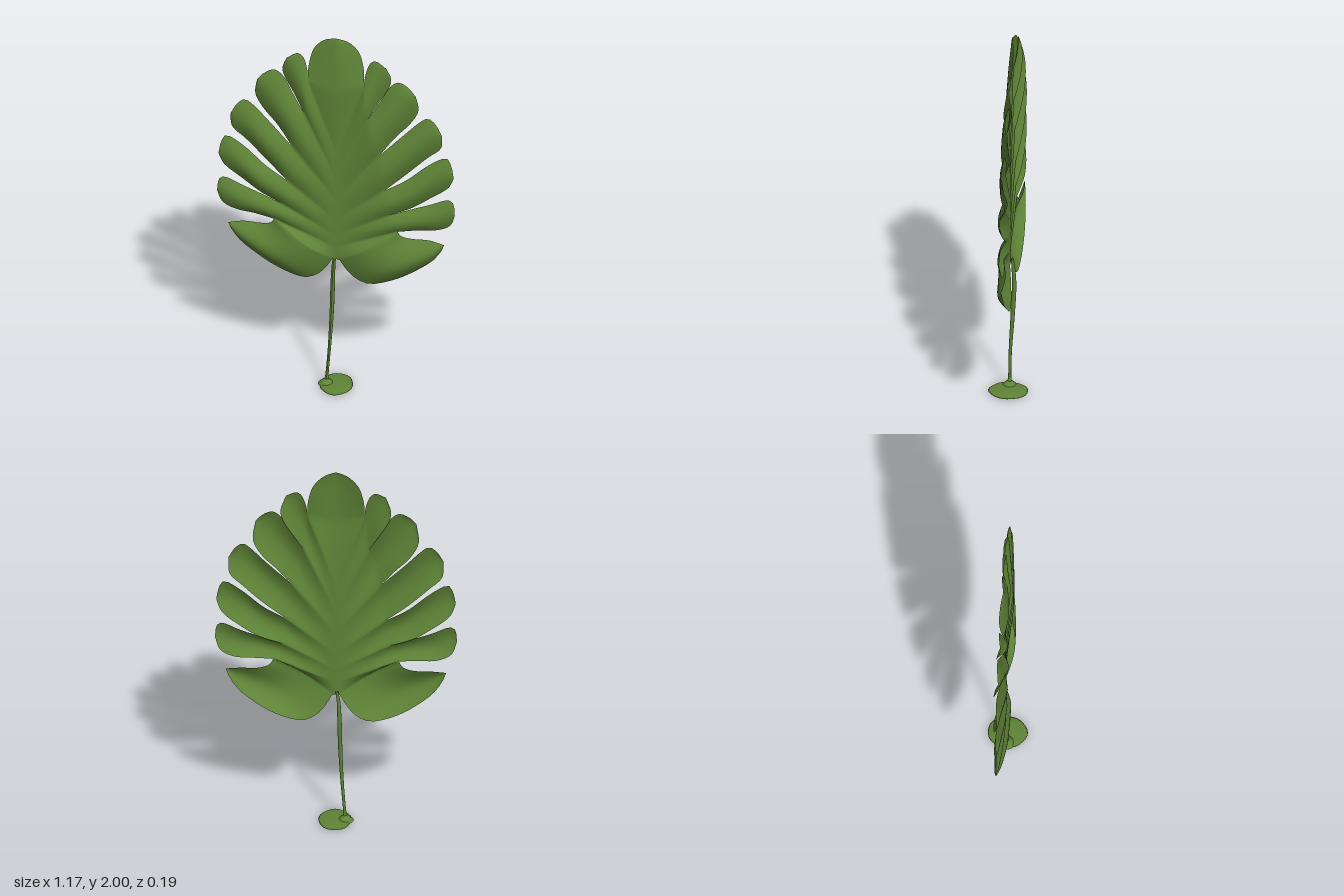
import * as THREE from 'three';
import { mergeVertices } from 'three/addons/utils/BufferGeometryUtils.js';

const leafGreen = new THREE.MeshStandardMaterial({ color: 0x5f8437, side: THREE.DoubleSide });
leafGreen.name = 'leaf green';

const SPLIT = 0.4; // share of each lobe that is joined to its neighbours
const U = 30, V = 12;

// Slits between lobes: height on the midrib, then the inner end of the slit
const slits = [
  [0.73, 0.02, 0.725],
  [0.80, 0.305, 0.925],
  [0.87, 0.257, 1.013],
  [0.96, 0.24, 1.155],
  [1.08, 0.215, 1.355],
  [1.20, 0.155, 1.55],
  [1.35, 0.137, 1.74],
  [1.35, 0, 1.70],
];

// Lobes from bottom to top: free lower edge, free upper edge, shared tip,
// how far the rim curls back and how far the middle puffs forward
const lobes = [
  { lower: [[0.045, 0.68], [0.09, 0.625], [0.17, 0.592], [0.31, 0.64], [0.45, 0.74], [0.51, 0.815]],
    upper: [[0.325, 0.895], [0.38, 0.882], [0.46, 0.882]], tip: [0.533, 0.87], curl: 0.024, puff: 0.052 },
  { lower: [[0.40, 0.937], [0.49, 0.945], [0.56, 0.98]],
    upper: [[0.35, 1.05], [0.46, 1.092], [0.545, 1.13], [0.578, 1.115]], tip: [0.586, 1.05], curl: 0.016, puff: 0.03 },
  { lower: [[0.37, 1.06], [0.46, 1.122], [0.55, 1.195]],
    upper: [[0.35, 1.225], [0.45, 1.315], [0.535, 1.37], [0.565, 1.34]], tip: [0.58, 1.265], curl: 0.02, puff: 0.035 },
  { lower: [[0.35, 1.255], [0.45, 1.355], [0.515, 1.42]],
    upper: [[0.33, 1.475], [0.41, 1.56], [0.452, 1.588], [0.49, 1.56]], tip: [0.52, 1.505], curl: 0.024, puff: 0.036 },
  { lower: [[0.29, 1.455], [0.36, 1.535], [0.402, 1.62]],
    upper: [[0.215, 1.655], [0.26, 1.74], [0.305, 1.777], [0.355, 1.755]], tip: [0.39, 1.715], curl: 0.028, puff: 0.038 },
  { lower: [[0.205, 1.64], [0.255, 1.73], [0.268, 1.79]],
    upper: [[0.145, 1.81], [0.165, 1.868], [0.195, 1.887]], tip: [0.243, 1.86], curl: 0.026, puff: 0.026 },
  { lower: [[0.137, 1.82], [0.113, 1.92], [0.06, 1.98]],
    upper: [[0, 1.85]], tip: [0, 2], curl: 0.02, puff: 0.024, crest: 0.5 },
];

// Edge of a lobe: straight from midrib to slit, then a smooth curve to the tip
function lobeEdge([ribY, sx, sy], free, tip) {
  const root = new THREE.Vector2(0, ribY), slit = new THREE.Vector2(sx, sy);
  const curve = new THREE.SplineCurve([slit, ...[...free, tip].map(p => new THREE.Vector2(...p))]);
  return u => u <= SPLIT ? root.clone().lerp(slit, u / SPLIT)
    : curve.getPointAt(Math.min(1, (u - SPLIT) / (1 - SPLIT)));
}

// Half of the blade: each lobe is a puffed patch whose edges curl backwards;
// the lower edge curls a little more than the upper one
function halfBlade(side) {
  const pos = [], index = [];
  lobes.forEach((lobe, k) => {
    const lower = lobeEdge(slits[k], lobe.lower, lobe.tip);
    const upper = lobeEdge(slits[k + 1], lobe.upper, lobe.tip);
    const first = pos.length / 3;
    for (let i = 0; i <= U; i++) {
      const u = i / U, a = lower(u), b = upper(u);
      const curl = lobe.curl * Math.sin(Math.PI * 0.85 * Math.max(0, (u - SPLIT) / (1 - SPLIT)));
      const puff = lobe.puff * Math.sin(Math.PI * u ** 1.5);
      for (let j = 0; j <= V; j++) {
        const v = j / V, p = a.clone().lerp(b, v);
        const bulge = puff * Math.sin(Math.PI * v * (lobe.crest ?? 1));
        pos.push(side * p.x, p.y, -0.01 - curl * (1.2 - 0.4 * v) + bulge);
      }
    }
    for (let i = 0; i < U; i++) for (let j = 0; j < V; j++) {
      const a = first + i * (V + 1) + j, b = a + V + 1;
      if (side > 0) index.push(a, b, b + 1, a, b + 1, a + 1);
      else index.push(a, b + 1, b, a, a + 1, b + 1);
    }
  });
  return { pos, index };
}

function bladeGeometry() {
  const left = halfBlade(1), right = halfBlade(-1), n = left.pos.length / 3;
  const geo = new THREE.BufferGeometry();
  geo.setAttribute('position', new THREE.Float32BufferAttribute([...left.pos, ...right.pos], 3));
  geo.setIndex([...left.index, ...right.index.map(i => i + n)]);
  const welded = mergeVertices(geo, 1e-4);
  welded.computeVertexNormals();
  return welded;
}

// Thin stalk, thicker where it meets the blade
function stalkGeometry() {
  const path = new THREE.CatmullRomCurve3([
    [-0.045, 0.01, 0], [-0.04, 0.08, -0.002], [-0.03, 0.22, -0.006], [-0.021, 0.42, -0.018],
    [-0.017, 0.6, -0.026], [-0.012, 0.7, -0.022], [-0.004, 0.75, -0.018],
  ].map(p => new THREE.Vector3(...p)));
  const rings = 30, sides = 10;
  const geo = new THREE.TubeGeometry(path, rings, 1, sides);
  const p = geo.attributes.position, c = new THREE.Vector3(), q = new THREE.Vector3();
  for (let i = 0; i <= rings; i++) {
    const t = i / rings;
    path.getPointAt(t, c);
    const r = 0.007 + 0.004 * Math.sin(Math.PI * t * t) + 0.012 * Math.exp(-t * 40);
    for (let j = 0; j <= sides; j++) {
      const n = i * (sides + 1) + j;
      q.fromBufferAttribute(p, n).sub(c).multiplyScalar(r).add(c);
      p.setXYZ(n, q.x, Math.max(0.002, q.y), q.z);
    }
  }
  geo.computeVertexNormals();
  return geo;
}

// Flat foot with a slightly wavy rim
function footGeometry() {
  const profile = [[0, 0.002], [0.9, 0.004], [1, 0.01], [0.92, 0.016], [0.5, 0.018], [0, 0.019]];
  const geo = new THREE.LatheGeometry(profile.map(p => new THREE.Vector2(...p)), 28);
  const p = geo.attributes.position;
  for (let i = 0; i < p.count; i++) {
    const x = p.getX(i), z = p.getZ(i);
    const w = 1 + 0.02 * Math.sin(5 * Math.atan2(z, x));
    p.setXYZ(i, 0.006 + x * 0.08 * w, p.getY(i), z * 0.097 * w);
  }
  geo.computeVertexNormals();
  return geo;
}

export function createModel() {
  const group = new THREE.Group();
  group.name = 'leafOnStand';
  const add = (name, geo) => {
    const mesh = new THREE.Mesh(geo, leafGreen);
    mesh.name = name;
    group.add(mesh);
    return mesh;
  };
  add('blade', bladeGeometry());
  add('stalk', stalkGeometry());
  add('foot', footGeometry());
  // Small flare where the stalk meets the foot
  add('stalkFlare', new THREE.CylinderGeometry(0.009, 0.04, 0.03, 14)).position.set(-0.045, 0.025, 0);
  return group;
}
